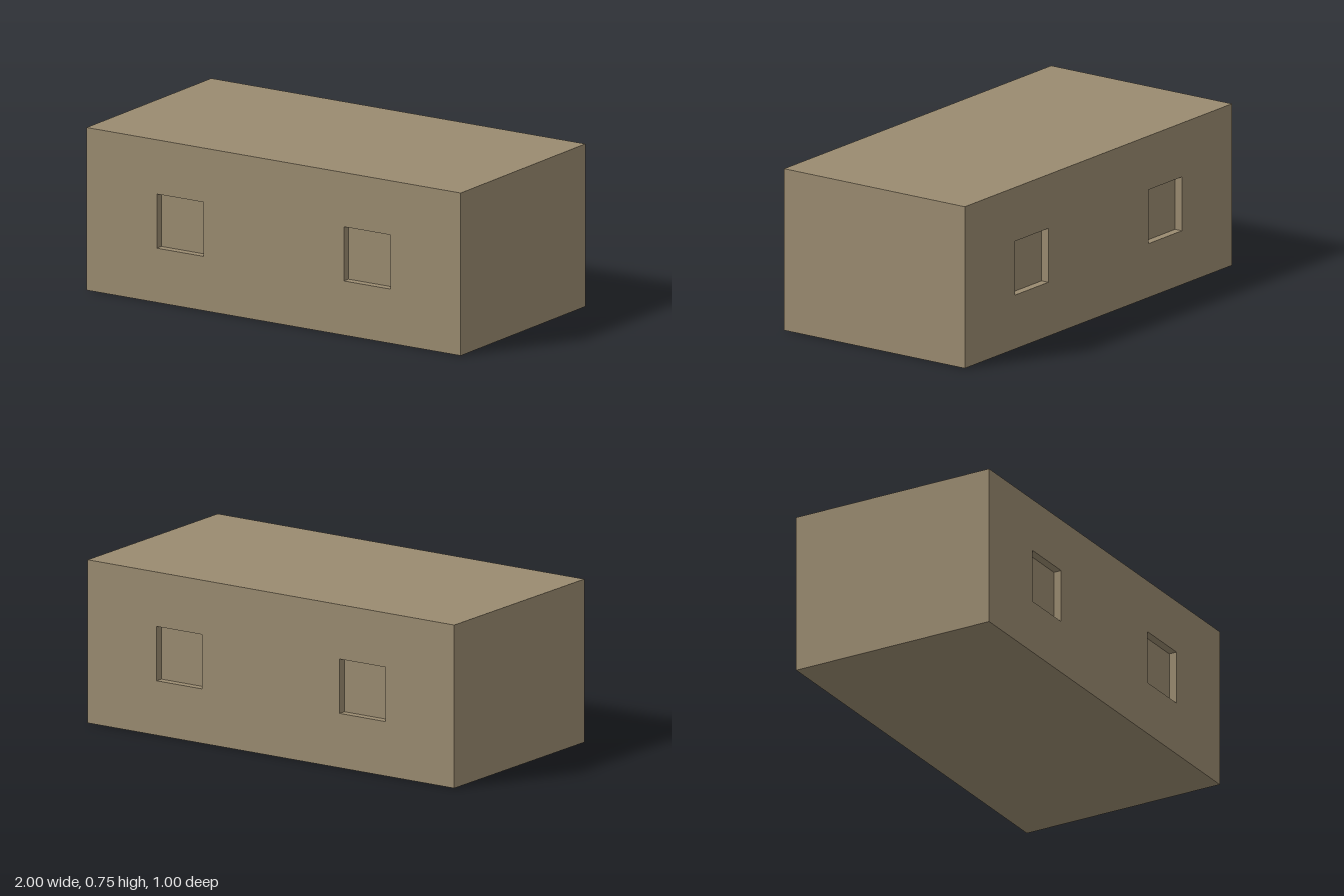
import * as THREE from 'three';

const LENGTH = 2, HEIGHT = 0.75, DEPTH = 1;
const WINDOW = 0.25, RECESS = 0.0375, SILL = 0.25;
const WINDOW_X = [-0.5, 0.5];

function rectangle(target, x, y, w, h) {
  target.moveTo(x, y);
  target.lineTo(x + w, y);
  target.lineTo(x + w, y + h);
  target.lineTo(x, y + h);
  target.closePath();
  return target;
}

export function createModel() {
  const model = new THREE.Group();
  model.name = 'building';
  const stone = new THREE.MeshStandardMaterial({ color: 0x9a8b70 });
  stone.name = 'sandstone';

  // Block with window openings running front to back
  const outline = rectangle(new THREE.Shape(), -LENGTH / 2, 0, LENGTH, HEIGHT);
  for (const x of WINDOW_X) {
    outline.holes.push(rectangle(new THREE.Path(), x - WINDOW / 2, SILL, WINDOW, WINDOW));
  }
  const wallGeometry = new THREE.ExtrudeGeometry(outline, { depth: DEPTH, bevelEnabled: false });
  wallGeometry.translate(0, 0, -DEPTH / 2);
  const walls = new THREE.Mesh(wallGeometry, stone);
  walls.name = 'walls';
  model.add(walls);

  // Each opening is filled, leaving a shallow recess on the front and back
  const fillGeometry = new THREE.BoxGeometry(WINDOW, WINDOW, DEPTH - 2 * RECESS);
  for (const x of WINDOW_X) {
    const fill = new THREE.Mesh(fillGeometry, stone);
    fill.name = x > 0 ? 'leftWindowPanels' : 'rightWindowPanels';
    fill.position.set(x, SILL + WINDOW / 2, 0);
    model.add(fill);
  }
  return model;
}
